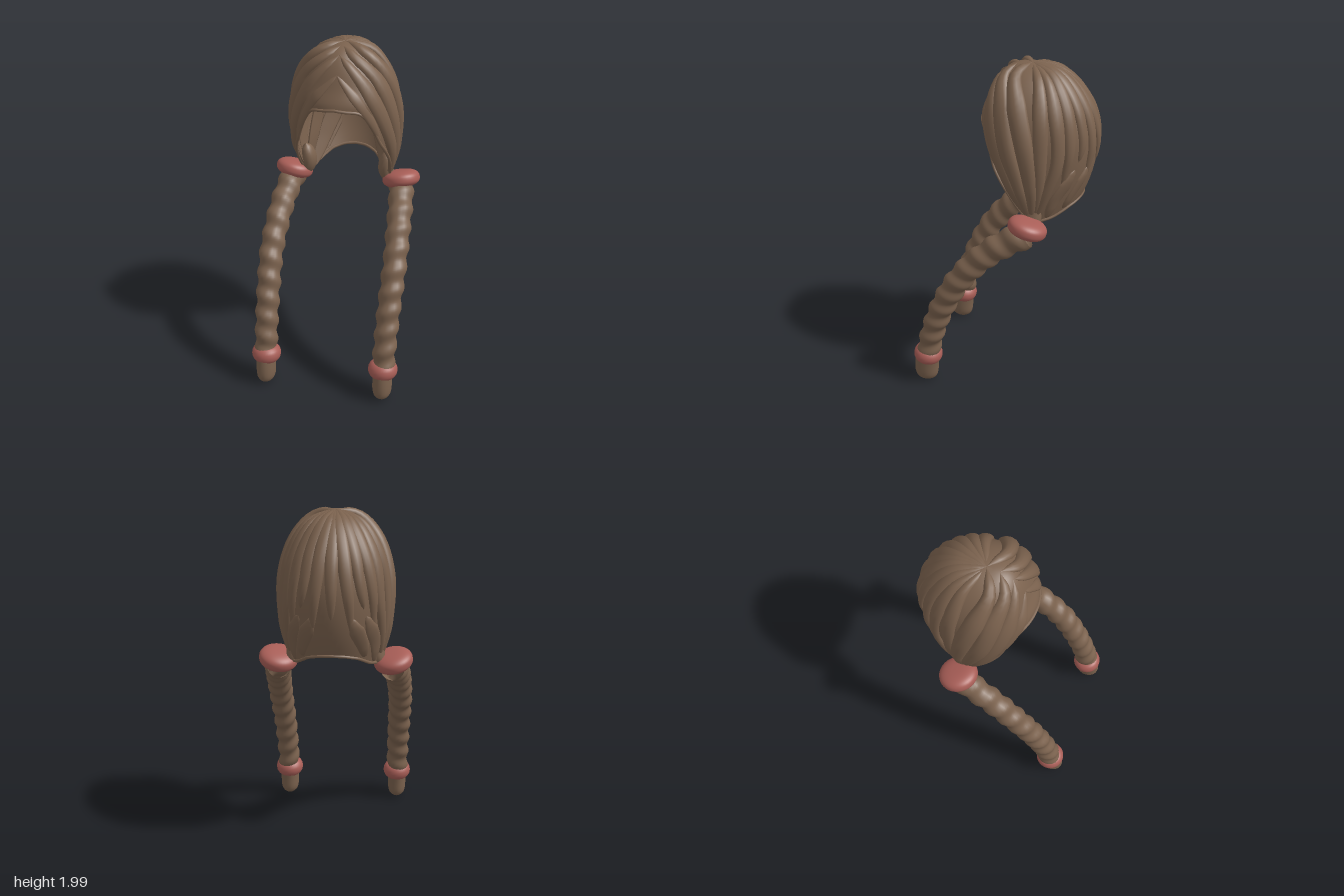
import * as THREE from 'three';

const V = (x, y, z) => new THREE.Vector3(x, y, z);

// Closed sweep: elliptical rings along a curve. size(t, angle) gives [half width, half thickness].
function sweep(points, rings, sides, outward, size) {
  const curve = new THREE.CatmullRomCurve3(points);
  const pos = [];
  for (let i = 0; i <= rings; i++) {
    const t = i / rings, c = curve.getPointAt(t), T = curve.getTangentAt(t);
    const N = outward(c).addScaledVector(T, -outward(c).dot(T)).normalize();
    const B = T.clone().cross(N);
    for (let j = 0; j < sides; j++) {
      const a = (j / sides) * Math.PI * 2, [w, h] = size(t, a);
      const p = c.clone().addScaledVector(B, Math.cos(a) * w).addScaledVector(N, Math.sin(a) * h);
      pos.push(p.x, p.y, p.z);
    }
  }
  return buffer(pos, rings, sides);
}

// Surface from rings of points, each ring closed on itself
function buffer(pos, rings, sides) {
  const idx = [];
  for (let i = 0; i < rings; i++) {
    for (let j = 0; j < sides; j++) {
      const k = (j + 1) % sides, r = i * sides, s = r + sides;
      idx.push(r + j, s + j, r + k, s + j, s + k, r + k);
    }
  }
  const g = new THREE.BufferGeometry();
  g.setAttribute('position', new THREE.Float32BufferAttribute(pos, 3));
  g.setIndex(idx);
  g.computeVertexNormals();
  return g;
}

// Scalp surface: point at an azimuth (degrees, 0 = front, 90 = left) and a height
const TOP = 1.983;
function scalp(deg, y) {
  const f = THREE.MathUtils.degToRad(deg), c = Math.cos(f);
  const up = Math.min(1, Math.max(0, (y - 1.55) / (TOP - 1.55))), d = Math.max(0, (1.55 - y) / 0.4);
  const k = Math.sqrt(1 - up * up);
  const x = 0.298 * k * (1 - 0.13 * d * d);
  const front = 0.255 * k ** 0.65 + 0.025 * Math.exp(-(((y - 1.68) / 0.07) ** 2));
  const back = 0.374 * k * (1 - 0.3 * d * d);
  return V(x * Math.sin(f), y, -0.12 + c * (c > 0 ? front : back));
}

// Height of the lower hair edge around the head
const RIM = [[0, 1.67], [28, 1.655], [38, 1.59], [53, 1.45], [75, 1.32], [90, 1.22],
  [100, 1.15], [112, 1.14], [130, 1.16], [150, 1.21], [165, 1.23], [180, 1.235]];
function rimY(deg) {
  const a = deg > 180 ? 360 - deg : deg;
  const i = Math.max(1, RIM.findIndex(([b]) => a <= b));
  const [a0, y0] = RIM[i - 1], [a1, y1] = RIM[i];
  return y0 + ((y1 - y0) * (a - a0)) / (a1 - a0);
}

function capGeometry() {
  const cols = 90, rows = 24, pos = [];
  for (let i = 0; i <= rows; i++) {
    for (let j = 0; j < cols; j++) {
      const deg = (j / cols) * 360;
      const y = TOP - (TOP - rimY(deg)) * (1 - Math.cos((i / rows) * Math.PI / 2));
      pos.push(...scalp(deg, y).toArray());
    }
  }
  return buffer(pos, rows, cols);
}

// Solid, softly domed disc with a round edge, lying across y
function domedDisc(radius, half) {
  const pts = [];
  for (let i = 0; i <= 24; i++) {
    const a = -Math.PI / 2 + (i / 24) * Math.PI;
    pts.push(new THREE.Vector2(radius * Math.cos(a) ** 0.75, half * Math.sign(Math.sin(a)) * Math.abs(Math.sin(a)) ** 0.8));
  }
  pts[0].x = pts[24].x = 0;
  return new THREE.LatheGeometry(pts, 36);
}

export function createModel() {
  const group = new THREE.Group();
  const hair = new THREE.MeshStandardMaterial({ color: 0x7b624e, side: THREE.DoubleSide });
  hair.name = 'brown hair';
  const band = new THREE.MeshStandardMaterial({ color: 0xa85e57 });
  band.name = 'red band';
  const add = (name, geo, mat = hair) => {
    const m = new THREE.Mesh(geo, mat);
    m.name = name;
    group.add(m);
    return m;
  };
  const fromHead = (p) => p.clone().sub(V(0, 1.5, -0.15));
  const forward = () => V(0, 0, 1);

  // Tapered lock lying on the scalp, rounded outside and nearly flat inside
  const lockAlong = (name, pts, w, h) => add(name, sweep(pts, 28, 12, fromHead, (t, a) => {
    const k = Math.min(1, 0.3 + t * 2.2) * Math.sqrt(Math.max(0, 1 - t ** 3)) * Math.min(1, t * 18);
    return [w * k, h * Math.min(1, k * 1.4) * (Math.sin(a) < 0 ? 0.15 : 1)];
  }));
  const lock = (name, side, path, w, h) =>
    lockAlong(name, path.map(([a, y]) => scalp(a * side, y)), w, h);

  // Scalp shell and its rounded lower edge
  add('hairCap', capGeometry());
  const edge = [];
  for (let a = 0; a < 360; a += 6) edge.push(scalp(a, rimY(a)));
  add('hairEdge', new THREE.TubeGeometry(new THREE.CatmullRomCurve3(edge, true), 120, 0.009, 8, true));

  // Strand down the middle of the back
  lock('backCentreStrand', 1, [[180, TOP], [180, 1.93], [180, 1.77], [180, 1.6], [180, 1.45]], 0.042, 0.022);

  for (const side of [1, -1]) {
    const label = side > 0 ? 'left' : 'right';

    // Swept strands from the centre parting to the tie
    const swept = [
      [[[60, TOP], [66, 1.94], [82, 1.82], [94, 1.62], [101, 1.37], [105, 1.15]], 0.056, 0.038],
      [[[0, 1.979], [36, 1.925], [60, 1.8], [74, 1.6], [90, 1.37], [103, 1.15]], 0.056, 0.032],
      [[[0, 1.945], [22, 1.88], [42, 1.75], [57, 1.59], [78, 1.38], [101, 1.16]], 0.052, 0.026],
      [[[0, 1.85], [13, 1.79], [26, 1.72], [39, 1.61], [54, 1.46]], 0.032, 0.012],
    ];
    swept.forEach(([path, w, h], i) => lock(`${label}FrontStrand${i + 1}`, side, path, w, h));

    // Strands radiating over the back, the outer ones gathered into the tie
    [166, 152, 138].forEach((a, i) => {
      const end = [1.38, 1.5, 1.36][i];
      lock(`${label}BackStrand${i + 1}`, side,
        [[a, TOP], [a + 4, 1.93], [a, 1.78], [a - 3, 1.6], [a - 7, end]], 0.042, 0.024);
    });
    [123, 108].forEach((a, i) => lock(`${label}SideStrand${i + 1}`, side,
      [[a, TOP], [a + 3, 1.92], [a + 1, 1.75], [a, 1.52], [(a + 108) / 2, 1.33], [107, 1.15]], 0.044, 0.026));

    // Flat nape strands slanting towards the tie
    [[160, 140, 1.21], [142, 122, 1.16]].forEach(([a, b, end], i) => lock(`${label}NapeStrand${i + 1}`, side,
      [[a, 1.46], [(a + b) / 2 + 3, 1.38], [b + 4, 1.28], [b, end]], 0.046, 0.015));

    // Strands under the hair
    lockAlong(`${label}InnerStrand1`, [V(side * 0.05, 1.74, -0.42), V(side * 0.1, 1.53, -0.41),
      V(side * 0.165, 1.34, -0.33), V(side * 0.22, 1.14, -0.22)], 0.055, 0.022);
    lockAlong(`${label}InnerStrand2`, [V(side * 0.12, 1.74, -0.32), V(side * 0.185, 1.52, -0.27),
      V(side * 0.215, 1.33, -0.21), V(side * 0.24, 1.13, -0.18)], 0.05, 0.022);

    // Gathered bunch entering the tie
    add(`${label}Bunch`, sweep([V(side * 0.25, 1.32, -0.16), V(side * 0.235, 1.2, -0.18), V(side * 0.27, 1.1, -0.2)],
      14, 16, forward, (t) => {
        const k = Math.sqrt(Math.max(0, 1 - (2 * t - 1) ** 2));
        return [0.045 * k, 0.06 * k];
      }));

    // Twisted braid
    const path = [[0.33, 1.1, -0.175], [0.345, 1.06, -0.1], [0.36, 0.96, 0.04], [0.37, 0.78, 0.2],
      [0.365, 0.58, 0.31], [0.36, 0.38, 0.385], [0.357, 0.17, 0.435]];
    add(`${label}Braid`, sweep(path.map(([x, y, z]) => V(side * x, y, z)), 110, 20, forward, (t, a) => {
      const turn = side > 0 ? a : Math.PI - a;
      const r = 0.072 - 0.008 * t + 0.0065 * Math.cos(t * 10 * Math.PI * 2 + turn);
      return [r, r * 1.06];
    }));

    // Rounded tail below the lower tie
    add(`${label}BraidTip`, sweep([V(side * 0.357, 0.22, 0.425), V(side * 0.357, 0.11, 0.44), V(side * 0.357, 0, 0.445)],
      24, 20, forward, (t) => {
        const k = Math.sqrt(Math.max(0, 1 - t ** 9));
        return [0.058 * k, 0.075 * k];
      }));

    // Elastic ties
    const upper = add(`${label}UpperTie`, domedDisc(0.112, 0.052), band);
    upper.position.set(side * 0.328, 1.142, -0.182);
    upper.quaternion.setFromUnitVectors(V(0, 1, 0), V(-side * 0.18, 0.95, -0.27).normalize());
    const lower = add(`${label}LowerTie`, new THREE.TorusGeometry(0.048, 0.039, 18, 36), band);
    lower.position.set(side * 0.356, 0.19, 0.428);
    lower.quaternion.setFromUnitVectors(V(0, 0, 1), V(0, 1, -0.14).normalize());
    lower.scale.z = 1.25;
  }
  return group;
}
